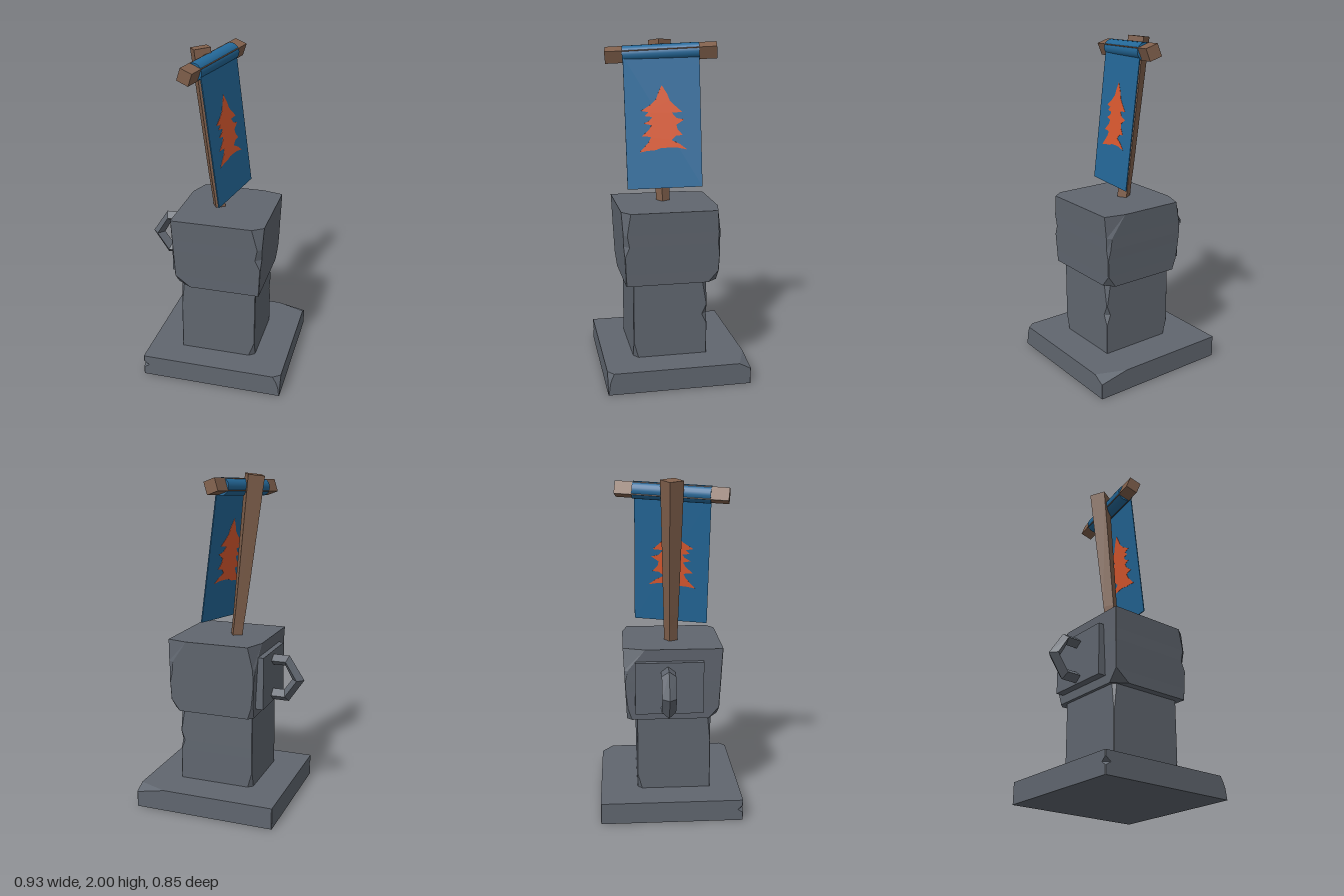
import * as THREE from 'three';

const mat = (name, color, extra = {}) => {
  const m = new THREE.MeshStandardMaterial({ color, ...extra });
  m.name = name;
  return m;
};

// Flat-shaded skin over rings of [x, y, z] points, closed at both ends
function loft(rings) {
  const pos = [];
  const tri = (...pts) => pts.forEach((p) => pos.push(...p));
  const n = rings[0].length;
  for (let i = 0; i < rings.length - 1; i++) {
    for (let j = 0; j < n; j++) {
      const k = (j + 1) % n;
      const [a, b, c, d] = [rings[i][j], rings[i][k], rings[i + 1][k], rings[i + 1][j]];
      tri(a, b, c);
      tri(a, c, d);
    }
  }
  const first = rings[0], last = rings[rings.length - 1];
  for (let j = 1; j < n - 1; j++) {
    tri(first[0], first[j + 1], first[j]);
    tri(last[0], last[j], last[j + 1]);
  }
  const g = new THREE.BufferGeometry();
  g.setAttribute('position', new THREE.Float32BufferAttribute(pos, 3));
  g.computeVertexNormals();
  return g;
}

// One level of a stone block; cuts [cx, cz] chip the corners br, bl, fl, fr
function level(y, [x0, x1, z0, z1], cuts = {}) {
  const tiny = [0.003, 0.003];
  const { br = tiny, bl = tiny, fl = tiny, fr = tiny } = cuts;
  return [
    [x1, y, z0 + br[1]], [x1 - br[0], y, z0],
    [x0 + bl[0], y, z0], [x0, y, z0 + bl[1]],
    [x0, y, z1 - fl[1]], [x0 + fl[0], y, z1],
    [x1 - fr[0], y, z1], [x1, y, z1 - fr[1]],
  ];
}

export function createModel() {
  const root = new THREE.Group();
  const stone = mat('stone grey', 0x60666f);
  const wood = mat('brown wood', 0x80604c);
  const blue = mat('blue cloth', 0x24699a, { side: THREE.DoubleSide });
  const orange = mat('orange emblem', 0xde5a30, { side: THREE.DoubleSide });
  const add = (name, geo, material, parent = root) => {
    const m = new THREE.Mesh(geo, material);
    m.name = name;
    parent.add(m);
    return m;
  };

  // Chipped base slab
  const slab = [-0.4, 0.465, -0.425, 0.425];
  add('baseSlab', loft([
    level(0, slab),
    level(0.05, slab, { fr: [0.01, 0.01] }),
    level(0.07, slab, { fl: [0.035, 0.03], fr: [0.015, 0.012] }),
    level(0.095, slab, { fr: [0.025, 0.02] }),
    level(0.13, slab, { br: [0.18, 0.07], fr: [0.045, 0.035] }),
  ]), stone);

  // Column with notched edges
  const shaft = [-0.2, 0.265, -0.2, 0.245];
  add('column', loft([
    level(0.12, shaft, { fr: [0.04, 0.03], bl: [0.03, 0.03] }),
    level(0.22, shaft),
    level(0.32, shaft),
    level(0.38, shaft, { br: [0.025, 0.03] }),
    level(0.44, shaft),
    level(0.6, shaft, { br: [0.03, 0.03], fl: [0.02, 0.02] }),
  ]), stone);

  // Flared top block with broken corners
  add('topBlock', loft([
    level(0.59, [-0.22, 0.295, -0.26, 0.29], { fl: [0.09, 0.06], br: [0.05, 0.06], bl: [0.03, 0.03] }),
    level(0.66, [-0.223, 0.298, -0.263, 0.293], { bl: [0.01, 0.01] }),
    level(0.77, [-0.228, 0.303, -0.268, 0.298]),
    level(0.83, [-0.231, 0.306, -0.271, 0.301], { fr: [0.035, 0.03], br: [0.02, 0.015] }),
    level(0.9, [-0.234, 0.309, -0.274, 0.304], { fr: [0.025, 0.02], br: [0.03, 0.015], bl: [0.01, 0.02] }),
    level(1.03, [-0.24, 0.315, -0.28, 0.31], { fr: [0.065, 0.047], br: [0.125, 0.03], bl: [0.045, 0.13] }),
  ]), stone);

  // Side plate and angular handle with a diamond section
  const plate = new THREE.BoxGeometry(0.06, 0.315, 0.405);
  plate.translate(-0.24, 0.8, -0.008);
  add('handlePlate', plate, stone);
  const outer = [[-0.25, 0.935], [-0.37, 0.935], [-0.465, 0.79], [-0.37, 0.65], [-0.25, 0.65]];
  const inner = [[-0.25, 0.87], [-0.345, 0.87], [-0.39, 0.79], [-0.34, 0.72], [-0.25, 0.72]];
  add('handle', loft(outer.map(([ox, oy], i) => {
    const [ix, iy] = inner[i];
    const mx = (ox + ix) / 2, my = (oy + iy) / 2, z = -0.018;
    return [[ox, oy, z], [mx, my, z - 0.042], [ix, iy, z], [mx, my, z + 0.042]];
  })), stone);

  // Leaning pole, thicker and slightly tilted at the top: [y, centre x, radius, tilt]
  add('pole', loft([
    [1.0, -0.018, 0.042, 0], [1.1, -0.03, 0.043, 0], [1.2, -0.043, 0.046, 0.06], [1.99, -0.132, 0.069, 0.13],
  ].map(([y, cx, r, tilt]) => [0, 1, 2, 3].map((k) => {
    const a = -0.25 + k * Math.PI / 2;
    const dx = r * Math.cos(a);
    return [cx + dx, y + tilt * dx, 0.014 - r * Math.sin(a)];
  }))), wood);

  // Crossbar with the cloth rolled around it
  const bar = new THREE.Group();
  bar.name = 'crossbar';
  bar.position.set(-0.055, 1.917, 0.019);
  bar.lookAt(-0.125, 1.9, 0.348);
  root.add(bar);
  add('crossbarBeam', new THREE.BoxGeometry(0.076, 0.076, 0.665), wood, bar).rotation.z = -0.35;
  const roll = new THREE.CylinderGeometry(0.051, 0.051, 0.457, 20);
  roll.rotateX(Math.PI / 2);
  add('clothRoll', roll, blue, bar);

  // Thin sheets drawn as [z, y] outlines and laid on the leaning banner plane
  const sheet = (points, back, depth) => {
    const shape = new THREE.Shape(points.map(([z, y]) => new THREE.Vector2(-z, y)));
    const g = new THREE.ExtrudeGeometry(shape, { depth, bevelEnabled: false });
    const p = g.attributes.position;
    for (let i = 0; i < p.count; i++) {
      const z = -p.getX(i), y = p.getY(i);
      p.setXYZ(i, 0.228 - 0.128 * y - 0.2 * z + back + p.getZ(i), y, z);
    }
    g.computeVertexNormals();
    return g;
  };
  add('banner', sheet([[0.247, 1.9], [0.24, 1.115], [-0.2, 1.135], [-0.197, 1.925]], -0.003, 0.006), blue);

  // Ragged fir tree emblem, showing on both faces
  add('treeEmblem', sheet([
    [0.026, 1.73], [0.045, 1.69], [0.06, 1.65], [0.095, 1.615], [0.15, 1.58], [0.12, 1.575], [0.105, 1.572],
    [0.13, 1.55], [0.085, 1.545], [0.1, 1.525], [0.135, 1.505], [0.09, 1.497], [0.105, 1.47],
    [0.15, 1.43], [0.115, 1.43], [0.095, 1.425], [0.11, 1.395], [0.165, 1.335], [0.12, 1.345], [0.07, 1.35],
    [0.04, 1.362], [0.0, 1.365], [-0.06, 1.365], [-0.115, 1.355], [-0.075, 1.385], [-0.025, 1.41],
    [-0.05, 1.435], [-0.09, 1.44], [-0.06, 1.475], [-0.055, 1.5], [-0.1, 1.53], [-0.055, 1.54],
    [-0.03, 1.57], [-0.09, 1.575], [-0.045, 1.615], [-0.02, 1.64], [-0.005, 1.68],
  ], -0.0045, 0.009), orange);

  return root;
}
